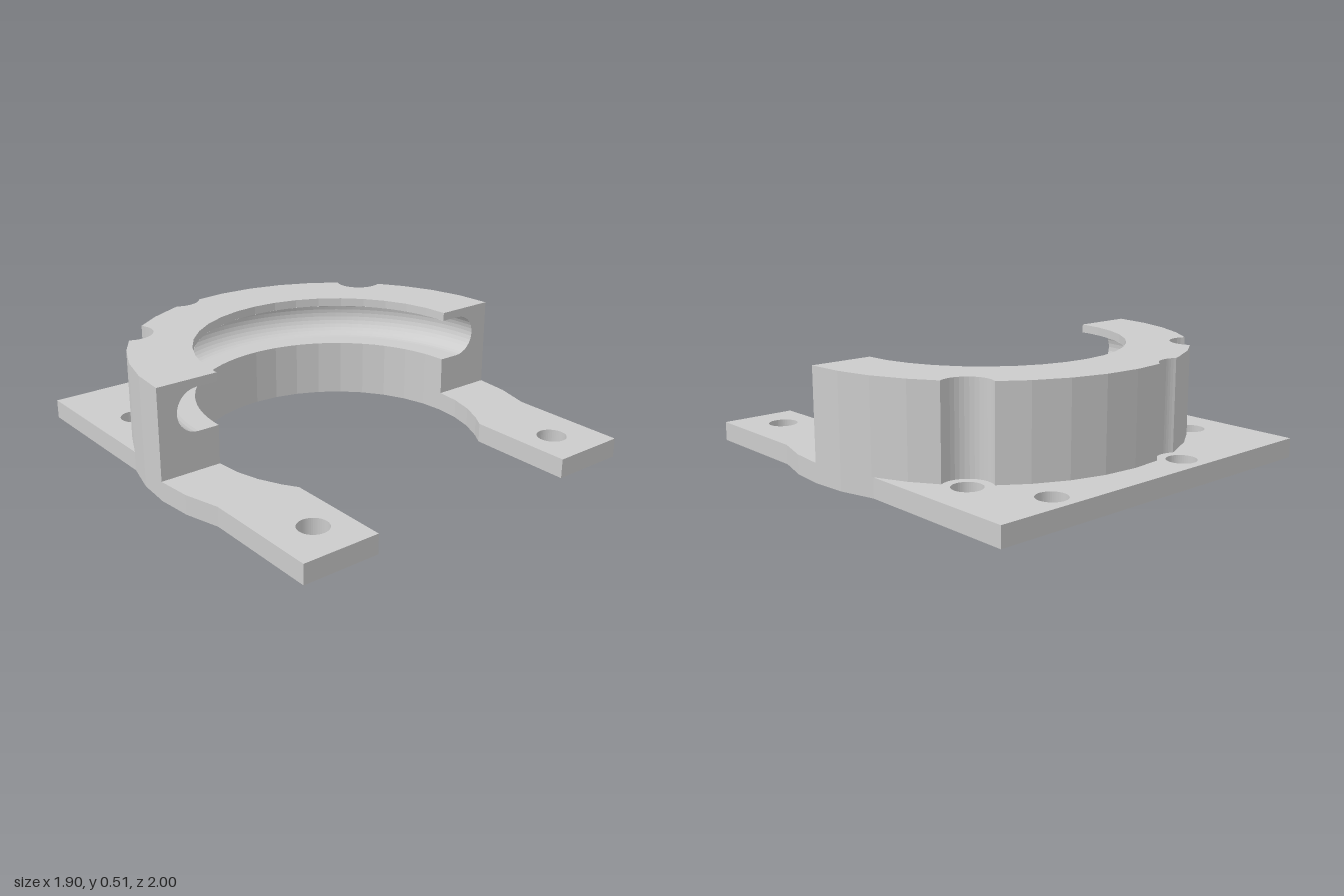
import * as THREE from 'three';

const CZ = 0.105;               // z of the ring's axis
const R_OUT = 0.95, R_IN = 0.66;
const PLATE = 0.09, TOP = 0.51; // heights
const rad = THREE.MathUtils.degToRad;

// Plan coordinates are (x, -z); angles run from +x round the back to -x.
const polar = (r, deg) => new THREE.Vector2(r * Math.cos(rad(deg)), r * Math.sin(rad(deg)) - CZ);
const arc = (r, from, to, step) => {
  const pts = [];
  for (let a = from; step > 0 ? a <= to : a >= to; a += step) pts.push(polar(r, a));
  return pts;
};

// Half-ring outer outline with round clearances for the screws
function ringOutline() {
  const q = 0.11;
  const notches = [[0.69, 0.58], [-0.245, 0.89], [-0.69, 0.58]].map(([x, y]) => {
    const d = Math.hypot(x, y + CZ), mid = THREE.MathUtils.radToDeg(Math.atan2(y + CZ, x));
    const half = THREE.MathUtils.radToDeg(Math.acos((R_OUT ** 2 + d * d - q * q) / (2 * R_OUT * d)));
    return { x, y, from: mid - half, to: mid + half };
  });
  const pts = [];
  let next = 0;
  for (let a = 0; a <= 180; a += 10) {
    while (next < notches.length && notches[next].from < a) {
      const n = notches[next++], p = polar(R_OUT, n.from), e = polar(R_OUT, n.to);
      const a0 = Math.atan2(p.y - n.y, p.x - n.x);
      let sweep = Math.atan2(e.y - n.y, e.x - n.x) - a0;
      while (sweep > 0) sweep -= 2 * Math.PI;
      while (sweep <= -2 * Math.PI) sweep += 2 * Math.PI;
      for (let i = 0; i <= 14; i++) {
        const t = a0 + sweep * i / 14;
        pts.push(new THREE.Vector2(n.x + q * Math.cos(t), n.y + q * Math.sin(t)));
      }
    }
    if (!notches.some(n => a > n.from && a < n.to)) pts.push(polar(R_OUT, a));
  }
  return pts;
}

// Upright wall along an outline
function wallGeometry(pts, y0, y1) {
  const pos = [];
  for (let i = 0; i < pts.length - 1; i++) {
    const a = pts[i], b = pts[i + 1];
    pos.push(a.x, y0, -a.y, b.x, y0, -b.y, b.x, y1, -b.y);
    pos.push(a.x, y0, -a.y, b.x, y1, -b.y, a.x, y1, -a.y);
  }
  const g = new THREE.BufferGeometry();
  g.setAttribute('position', new THREE.Float32BufferAttribute(pos, 3));
  g.computeVertexNormals();
  return g;
}

export function createModel() {
  const group = new THREE.Group();
  const mat = new THREE.MeshStandardMaterial({ color: 0xcccccc, flatShading: true, side: THREE.DoubleSide });
  const add = (name, geo, parent = group) => {
    const m = new THREE.Mesh(geo, mat);
    m.name = name;
    parent.add(m);
    return m;
  };

  // Base plate: rectangle with bulging sides, keyhole opening and screw holes
  const plate = new THREE.Shape([
    new THREE.Vector2(0.89, -1),
    ...[-20.5, -10, 0, 10, 20.5].map(a => polar(R_OUT, a)),
    new THREE.Vector2(0.89, 1), new THREE.Vector2(-0.89, 1),
    ...[159.5, 170, 180, 190, 200.5].map(a => polar(R_OUT, a)),
    new THREE.Vector2(-0.89, -1), new THREE.Vector2(-0.53, -1), new THREE.Vector2(-0.53, -0.5),
    ...arc(R_IN, 210, -30, -10),
    new THREE.Vector2(0.53, -0.5), new THREE.Vector2(0.53, -1),
  ]);
  for (const [x, y] of [[0.69, -0.8], [-0.69, -0.8], [0.69, 0.58], [-0.69, 0.58], [-0.245, 0.89], [0.53, 0.89]]) {
    plate.holes.push(new THREE.Path().absarc(x, y, 0.068, 0, Math.PI * 2, true));
  }
  const plateGeo = new THREE.ExtrudeGeometry(plate, { depth: PLATE, bevelEnabled: false, curveSegments: 24 });
  add('basePlate', plateGeo.rotateX(-Math.PI / 2));

  // Half ring standing on the plate
  const ring = new THREE.Group();
  ring.name = 'halfRing';
  group.add(ring);
  const outline = ringOutline();
  add('ringOuterWall', wallGeometry(outline, PLATE, TOP), ring);
  const topGeo = new THREE.ShapeGeometry(new THREE.Shape([...outline, ...arc(R_IN, 180, 0, -10)]));
  add('ringTop', topGeo.rotateX(-Math.PI / 2).translate(0, TOP, 0), ring);

  // Inner walls below and above the groove
  const inner = arc(R_IN, 180, 0, -10);
  add('innerWallLower', wallGeometry(inner, PLATE, 0.27), ring);
  add('innerWallUpper', wallGeometry(inner, 0.47, TOP), ring);

  // Round-bottomed groove running round the inside
  const groove = [new THREE.Vector2(0.658, 0.27)];
  for (let i = 0; i <= 16; i++) {
    const t = Math.PI * (i / 16 - 0.5);
    groove.push(new THREE.Vector2(0.76 + 0.1 * Math.cos(t), 0.37 + 0.1 * Math.sin(t)));
  }
  groove.push(new THREE.Vector2(0.658, 0.47));
  const grooveMesh = add('groove', new THREE.LatheGeometry(groove, 90, Math.PI / 2, Math.PI), ring);
  grooveMesh.position.z = CZ;

  // Flat cut ends, showing the groove's cross-section
  for (const s of [1, -1]) {
    const pts = [[R_OUT, PLATE], [R_OUT, TOP], [R_IN, TOP]].map(([x, y]) => new THREE.Vector2(s * x, y));
    pts.push(...groove.slice().reverse().map(p => new THREE.Vector2(s * p.x, p.y)));
    pts.push(new THREE.Vector2(s * R_IN, PLATE));
    const end = add(s > 0 ? 'leftEnd' : 'rightEnd', new THREE.ShapeGeometry(new THREE.Shape(pts)), ring);
    end.position.z = CZ;
  }
  return group;
}
